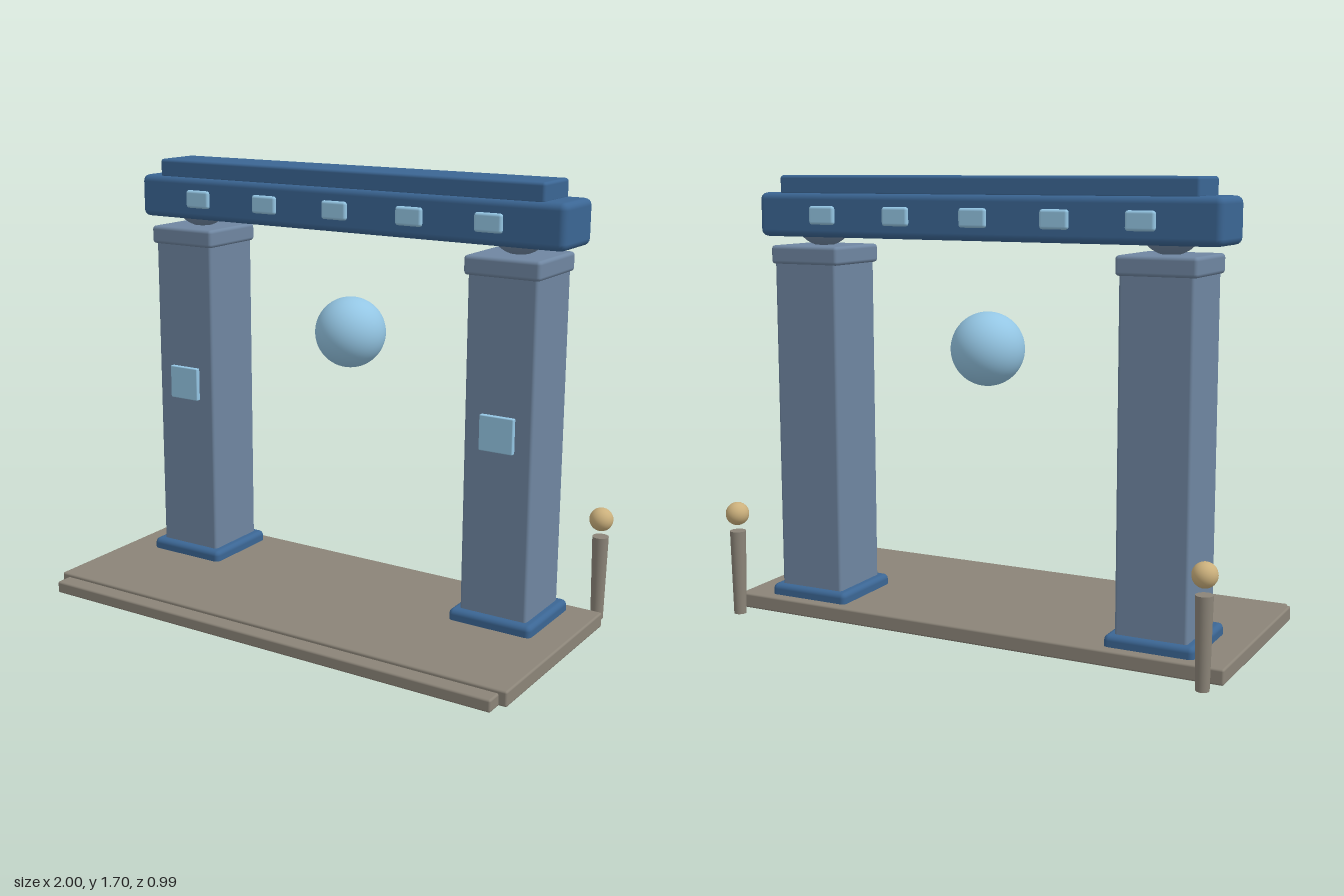
import * as THREE from 'three';
import { RoundedBoxGeometry } from 'three/addons/geometries/RoundedBoxGeometry.js';

const mat = (color) => new THREE.MeshStandardMaterial({ color });

export function createModel() {
  const root = new THREE.Group();
  const stone = mat(0x6f86a1), blue = mat(0x3b6694), floor = mat(0x8b8478);
  const glow = mat(0x94c6e4), gold = mat(0xcbb07c);
  const Z = -0.17; // depth of the gate's centre plane

  const add = (name, geometry, material, x, y, z) => {
    const mesh = new THREE.Mesh(geometry, material);
    mesh.name = name;
    mesh.position.set(x, y, z);
    root.add(mesh);
    return mesh;
  };
  // Bevelled box resting on height y0 and reaching y1
  const block = (name, material, w, y0, y1, d, x, z, bevel) =>
    add(name, new RoundedBoxGeometry(w, y1 - y0, d, 2, bevel), material, x, (y0 + y1) / 2, z);

  // Platform and its front step
  block('platform', floor, 2, 0.005, 0.063, 0.81, 0, 0.025, 0.008);
  block('frontStep', floor, 1.94, 0.003, 0.05, 0.16, 0, 0.413, 0.008);

  for (const s of [-1, 1]) {
    const side = s > 0 ? 'left' : 'right';
    const x = s * 0.708;
    // Pillar with plinth, capital, bearing ball and front tile
    block(side + 'Plinth', blue, 0.337, 0.03, 0.105, 0.335, x, Z, 0.02);
    block(side + 'Pillar', stone, 0.272, 0.05, 1.39, 0.275, x, Z - 0.003, 0.012);
    block(side + 'Capital', stone, 0.297, 1.365, 1.436, 0.297, x, Z, 0.014);
    add(side + 'Bearing', new THREE.SphereGeometry(0.115, 32, 20), stone, x, 1.545, Z);
    block(side + 'PillarTile', glow, 0.135, 0.735, 0.868, 0.04, x, -0.038, 0.004);

    // Lamp post behind the platform
    add(side + 'LampPost', new THREE.CylinderGeometry(0.031, 0.024, 0.33, 24), floor, s * 0.95, 0.172, -0.45);
    add(side + 'LampBall', new THREE.SphereGeometry(0.045, 24, 16), gold, s * 0.95, 0.405, -0.45);
  }

  // Lintel and the slab on top of it
  block('lintel', blue, 1.86, 1.468, 1.635, 0.232, 0, Z, 0.026);
  block('topSlab', blue, 1.685, 1.625, 1.7, 0.2, 0, Z, 0.012);

  // Small tiles along both faces of the lintel
  for (let i = -2; i <= 2; i++) {
    for (const f of [-1, 1]) {
      block('lintelTile', glow, 0.11, 1.516, 1.586, 0.03, i * 0.32, Z + f * 0.114, 0.011);
    }
  }

  // Floating orb
  add('orb', new THREE.SphereGeometry(0.137, 48, 32), glow, 0, 1.07, Z);
  return root;
}
